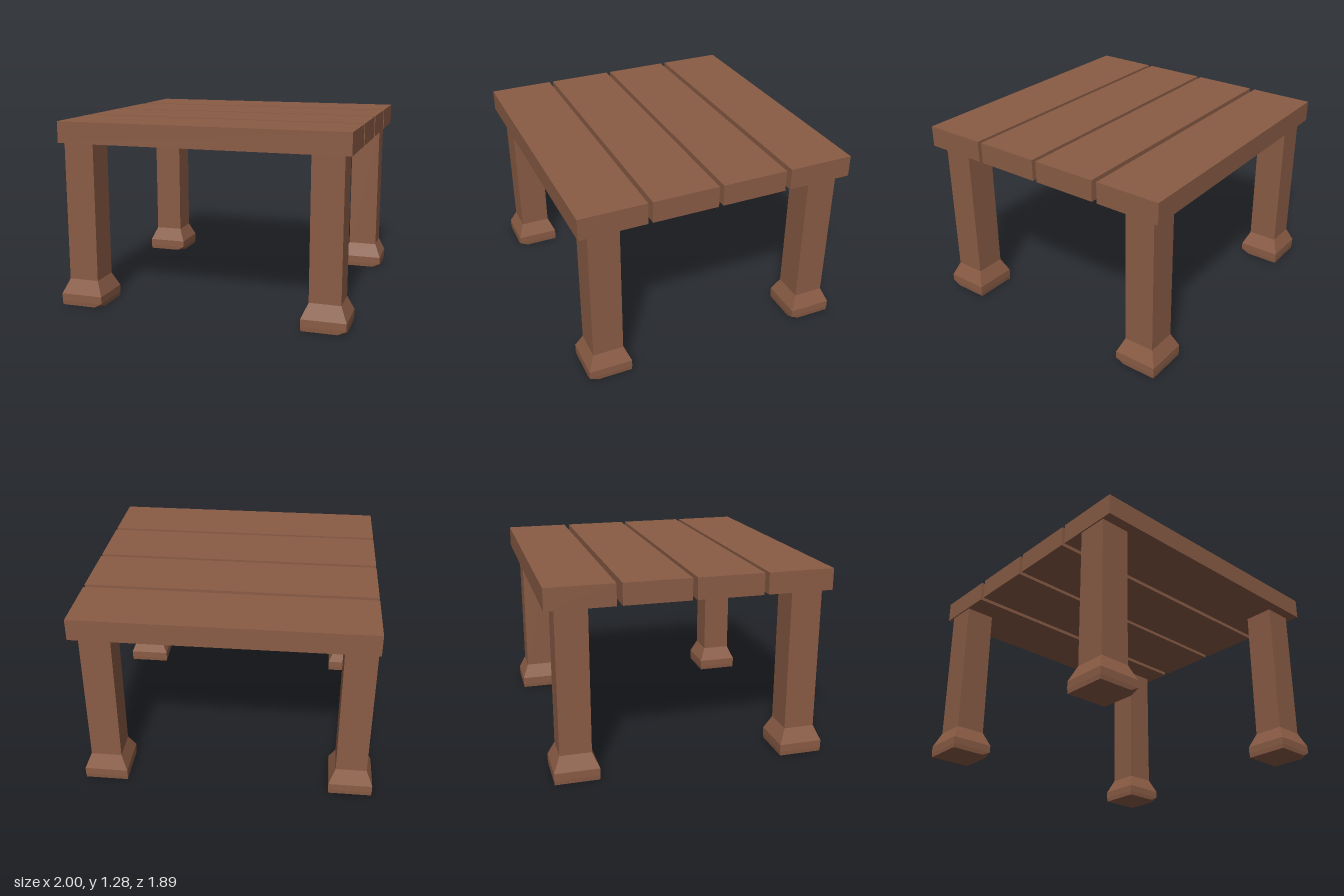
import * as THREE from 'three';
import { ConvexGeometry } from 'three/addons/geometries/ConvexGeometry.js';

const LEG_HALF = 0.105;
const FOOT_HALF = 0.149;
const FOOT_TOP = 0.18;
const PLANK_BOTTOM = 1.14;
const PLANK_TOP = 1.285;

// Four corners of a level square
function ring(half, y) {
  return [[-1, -1], [1, -1], [1, 1], [-1, 1]].map(
    ([x, z]) => new THREE.Vector3(x * half, y, z * half));
}

// Flared foot with one chipped lower corner
function footGeometry() {
  const b = FOOT_HALF - 0.003, chip = 0.055;
  const base = ring(b, 0);
  base.splice(2, 1, new THREE.Vector3(b, 0, b - chip), new THREE.Vector3(b - chip, 0, b));
  return new ConvexGeometry([
    ...base,
    ...ring(FOOT_HALF, 0.03),
    ...ring(FOOT_HALF, 0.08),
    ...ring(LEG_HALF, FOOT_TOP),
  ]);
}

export function createModel() {
  const model = new THREE.Group();
  model.name = 'plankTable';
  const wood = new THREE.MeshStandardMaterial({ color: 0x8a5c45, flatShading: true });
  wood.name = 'brown wood';

  function add(parent, geometry, name, x, y, z) {
    const mesh = new THREE.Mesh(geometry, wood);
    mesh.name = name;
    mesh.position.set(x, y, z);
    parent.add(mesh);
  }

  // Table top: four planks with narrow gaps
  const top = new THREE.Group();
  top.name = 'tableTop';
  model.add(top);
  const plank = new THREE.BoxGeometry(1.965, PLANK_TOP - PLANK_BOTTOM, 0.447);
  [-0.721, -0.237, 0.241, 0.718].forEach((z, i) =>
    add(top, plank, `plank${i + 1}`, 0.0175, (PLANK_TOP + PLANK_BOTTOM) / 2, z));

  // Four square legs on flared feet
  const post = new THREE.BoxGeometry(LEG_HALF * 2, PLANK_BOTTOM - FOOT_TOP, LEG_HALF * 2);
  const foot = footGeometry();
  for (const [side, x] of [['Right', -0.851], ['Left', 0.843]]) {
    for (const [end, z] of [['front', 0.765], ['back', -0.778]]) {
      const leg = new THREE.Group();
      leg.name = `${end}${side}Leg`;
      leg.position.set(x, 0, z);
      add(leg, post, 'post', 0, (PLANK_BOTTOM + FOOT_TOP) / 2, 0);
      add(leg, foot, 'foot', 0, 0, 0);
      model.add(leg);
    }
  }
  return model;
}
